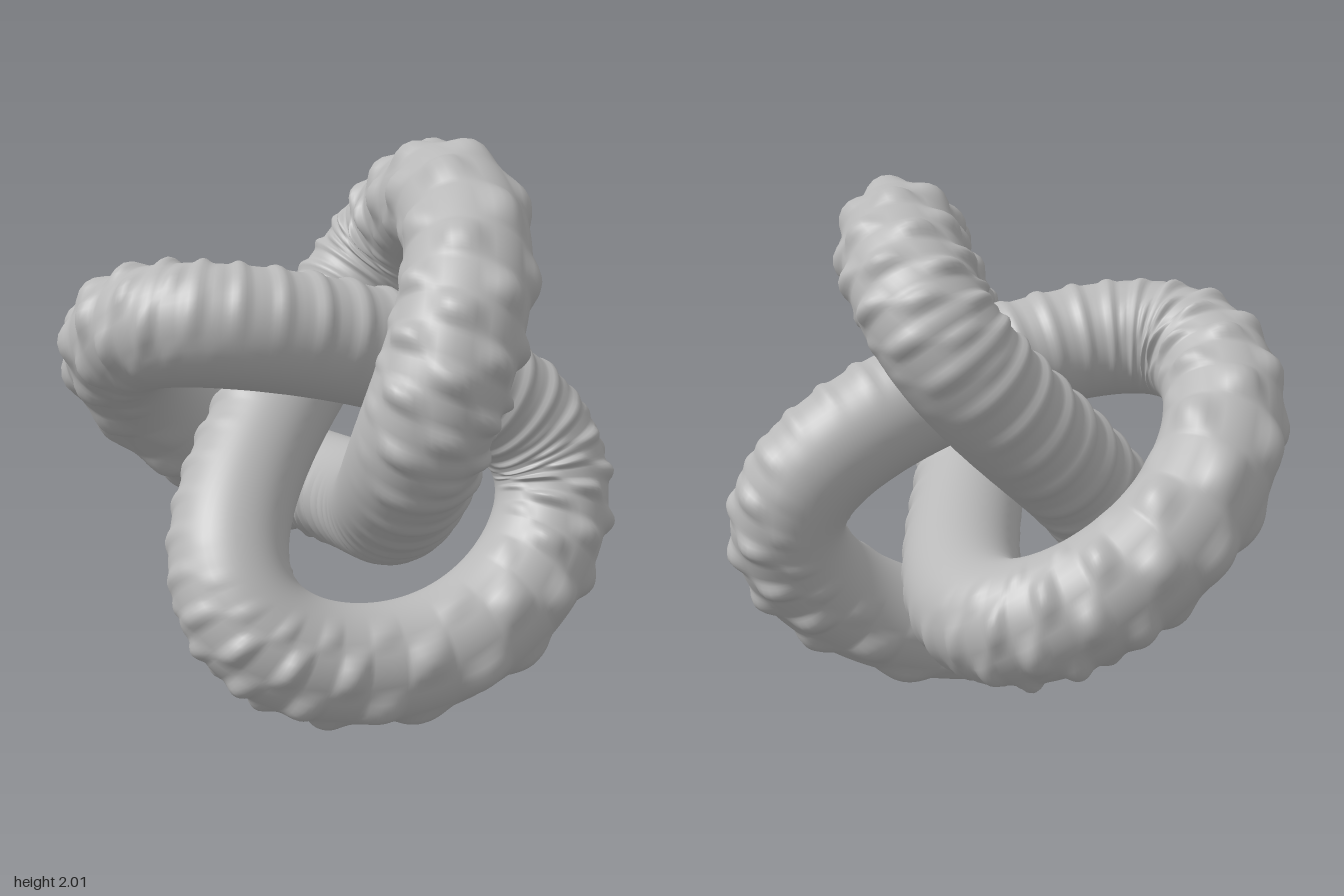
import * as THREE from 'three';

const WIDE = 0.582, NARROW = 0.268, DEPTH = 0.5, RADIUS = 0.208;
const STUD = 0.03, RIDGE = 0.014;

// Centre line of a three-lobed knot, one lobe pointing to -x
function centreLine(t) {
  return new THREE.Vector3(
    -WIDE * Math.cos(2 * t) - NARROW * Math.cos(t),
    -WIDE * Math.sin(2 * t) + NARROW * Math.sin(t),
    -DEPTH * (Math.sin(3 * t) - 0.12 * Math.sin(6 * t)));
}

// Round studs on the lobes, fine ridges on the outward side of the inner strands
function bumpHeight(t, v) {
  const inner = THREE.MathUtils.smoothstep((1 - Math.cos(3 * t)) / 2, 0.45, 0.9);
  const wave = -Math.cos(66 * t - 14 * Math.sin(3 * t));
  const studs = Math.max(0, wave * Math.cos(4 * v)) * THREE.MathUtils.smoothstep(Math.cos(v), -0.9, -0.2);
  const ridges = Math.max(0, wave) * THREE.MathUtils.smoothstep(Math.cos(v), -0.5, 0.5);
  return STUD * (1 - inner) * studs + RIDGE * inner * ridges;
}

// Closed tube whose rings are aligned to the outward direction
function knotGeometry(rings, sides) {
  const positions = [], index = [];
  for (let i = 0; i < rings; i++) {
    const t = (i / rings) * Math.PI * 2;
    const p = centreLine(t);
    const tangent = centreLine(t + 0.001).sub(centreLine(t - 0.001)).normalize();
    const out = new THREE.Vector3(p.x, p.y, 0);
    out.addScaledVector(tangent, -out.dot(tangent)).normalize();
    const side = new THREE.Vector3().crossVectors(tangent, out);
    for (let j = 0; j < sides; j++) {
      const v = (j / sides) * Math.PI * 2;
      const r = RADIUS + bumpHeight(t, v);
      const q = p.clone()
        .addScaledVector(out, r * Math.cos(v))
        .addScaledVector(side, r * Math.sin(v));
      positions.push(q.x, q.y, q.z);
      const i2 = (i + 1) % rings, j2 = (j + 1) % sides;
      const a = i * sides + j, b = i * sides + j2;
      const c = i2 * sides + j, d = i2 * sides + j2;
      index.push(a, b, c, b, d, c);
    }
  }
  const geometry = new THREE.BufferGeometry();
  geometry.setAttribute('position', new THREE.Float32BufferAttribute(positions, 3));
  geometry.setIndex(index);
  geometry.computeVertexNormals();
  return geometry;
}

export function createModel() {
  const group = new THREE.Group();
  group.name = 'knotSculpture';
  const grey = new THREE.MeshStandardMaterial({ color: 0xb8b8b8 });
  grey.name = 'grey';

  const knot = new THREE.Mesh(knotGeometry(900, 48), grey);
  knot.name = 'bumpyKnot';
  knot.position.set(0.122, 1, 0);
  group.add(knot);
  return group;
}
